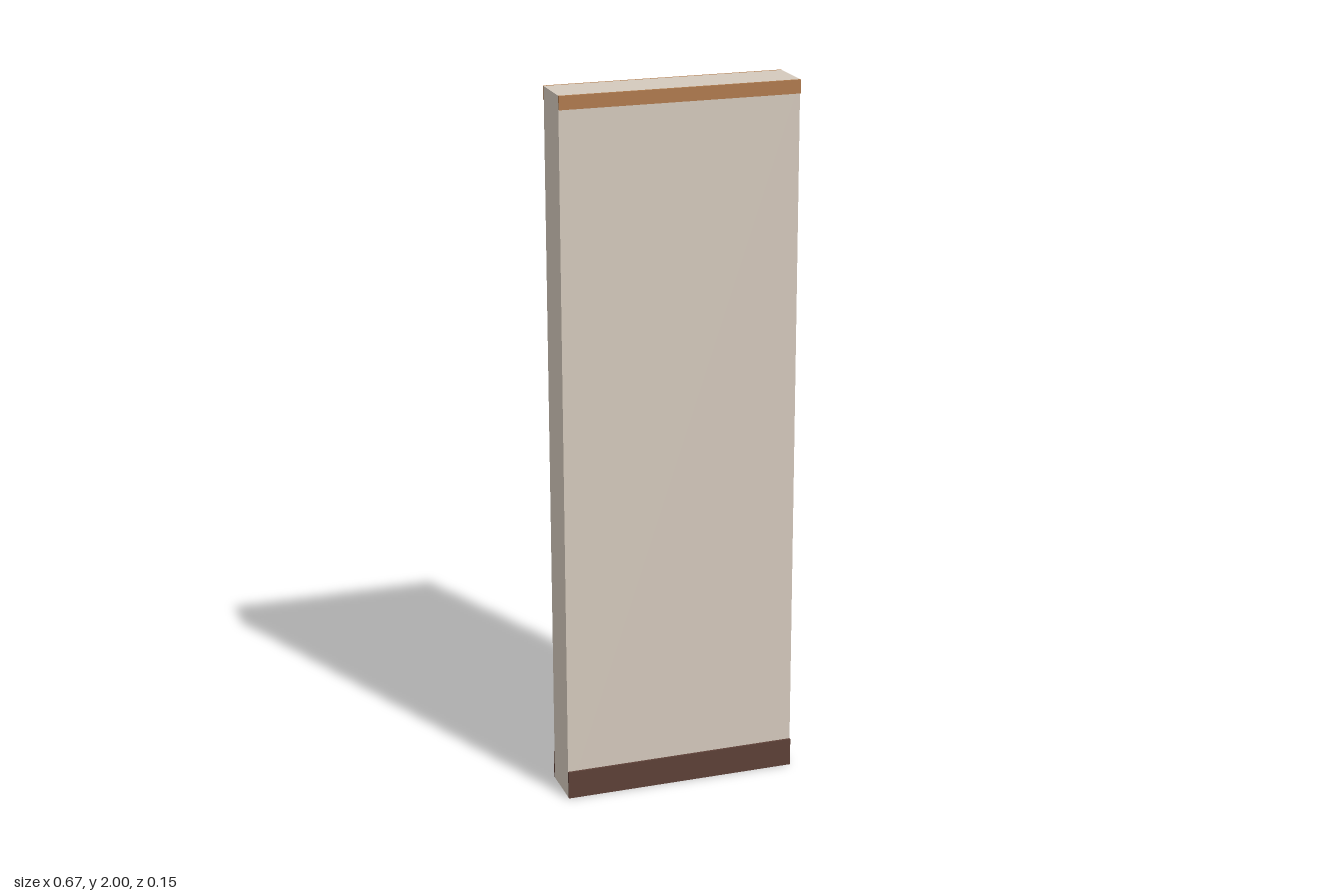
import * as THREE from 'three';

const WIDTH = 0.667, HEIGHT = 2, DEPTH = 0.1333, TRIM = 0.0067;

function addBox(group, name, color, size, position) {
  const mesh = new THREE.Mesh(
    new THREE.BoxGeometry(...size),
    new THREE.MeshStandardMaterial({ color })
  );
  mesh.name = name;
  mesh.position.set(...position);
  group.add(mesh);
}

export function createModel() {
  const group = new THREE.Group();
  group.name = 'wallPanel';

  // Plain wall slab
  addBox(group, 'wall', 0xd4c9bc, [WIDTH, HEIGHT, DEPTH], [0, HEIGHT / 2, 0]);

  // Thin skirting and top moulding on both faces
  const skirtingHeight = 0.08, mouldingHeight = 0.037;
  for (const [side, s] of [['front', 1], ['back', -1]]) {
    const z = s * (DEPTH + TRIM) / 2;
    addBox(group, side + 'Skirting', 0x5d4037, [WIDTH, skirtingHeight, TRIM], [0, skirtingHeight / 2, z]);
    addBox(group, side + 'TopMoulding', 0xb07a4c, [WIDTH, mouldingHeight, TRIM], [0, HEIGHT - mouldingHeight / 2, z]);
  }
  return group;
}
